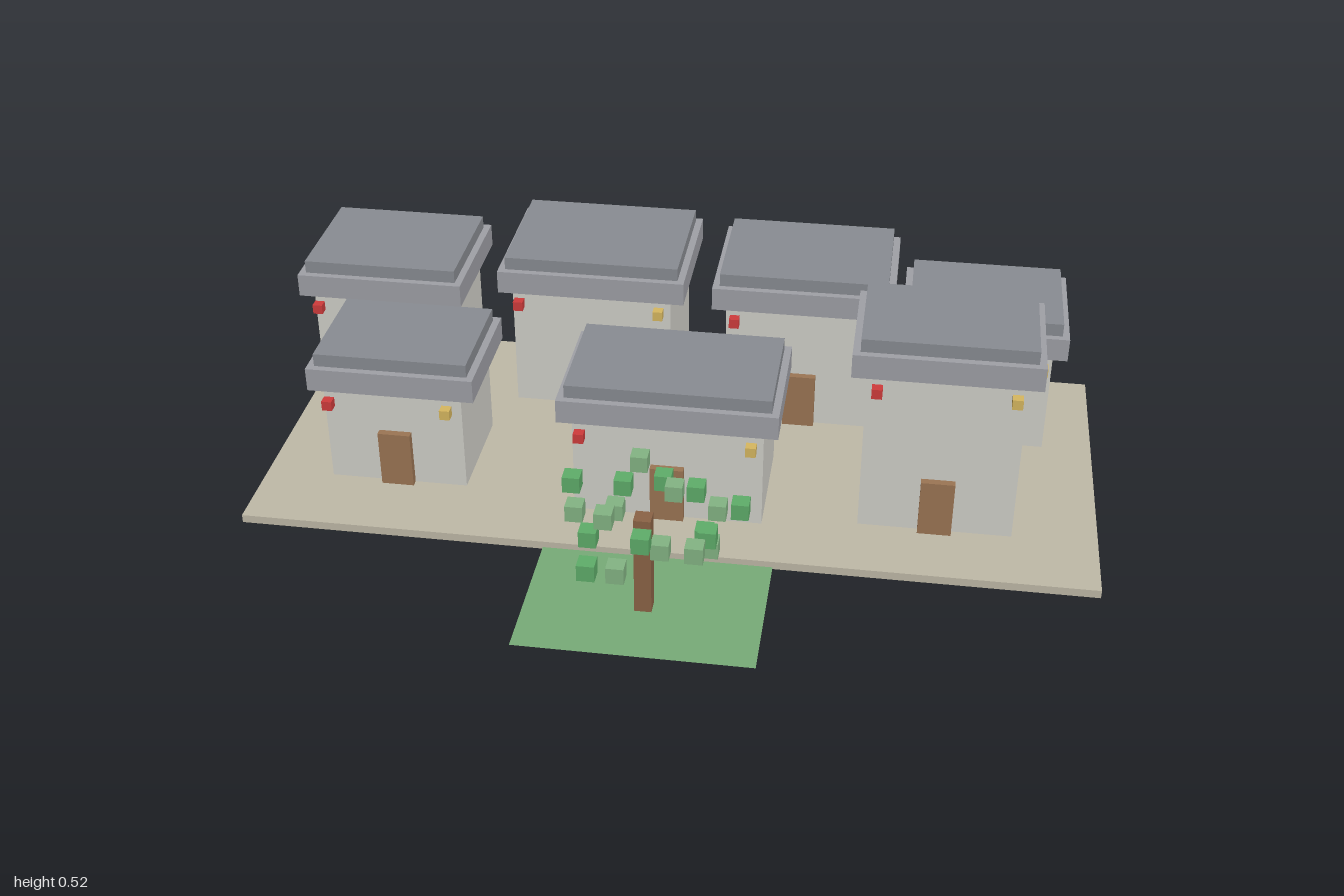
import * as THREE from 'three';

const mat = (color) => new THREE.MeshStandardMaterial({ color, flatShading: true });
const M = {
  ground: mat(0xc0baa8), wall: mat(0xd2d1ca), eave: mat(0xa0a1a7), roof: mat(0x8a8d93),
  door: mat(0x9c7654), red: mat(0xd03c3c), yellow: mat(0xd8b860), trunk: mat(0x8c6446),
  leafDark: mat(0x5fae6a), leafLight: mat(0x84b584), grass: mat(0x78ac78),
};
M.grass.side = THREE.DoubleSide;

// Box given by its lower and upper limits on each axis
function box(parent, name, material, [x0, x1], [y0, y1], [z0, z1]) {
  const mesh = new THREE.Mesh(new THREE.BoxGeometry(x1 - x0, y1 - y0, z1 - z0), material);
  mesh.position.set((x0 + x1) / 2, (y0 + y1) / 2, (z0 + z1) / 2);
  mesh.name = name;
  parent.add(mesh);
  return mesh;
}

const around = (c, size) => [c - size / 2, c + size / 2];
const FLOOR = 0.02;

// House from its eave outline (x0..x1, z0..z1) and wall top h
function house([x0, x1, z0, z1, h]) {
  const g = new THREE.Group();
  g.name = 'house';
  const wallFront = z1 - 0.017;
  box(g, 'walls', M.wall, [x0 + 0.034, x1 - 0.034], [FLOOR, h], [z0 + 0.017, wallFront]);
  box(g, 'eave', M.eave, [x0, x1], [h, h + 0.058], [z0, z1]);
  box(g, 'upperRoof', M.roof, [x0 + 0.017, x1 - 0.017], [h + 0.058, h + 0.09], [z0 + 0.017, z1 - 0.017]);
  box(g, 'door', M.door, around((x0 + x1) / 2, 0.078), [FLOOR, 0.161], around(wallFront, 0.036));
  // Lanterns hanging in front of the eave corners
  const s = 0.024;
  [['redLantern', M.red, x0 + 0.06], ['yellowLantern', M.yellow, x1 - 0.058]].forEach(([name, m, x]) =>
    box(g, name, m, around(x, s), around(h - 0.011, s), around(z1 + 0.034, s)));
  return g;
}

function tree() {
  const g = new THREE.Group();
  g.name = 'tree';
  box(g, 'trunk', M.trunk, around(0.002, 0.038), [FLOOR, 0.262], around(0.483, 0.038));
  // Leaf cubes: x, z and height level 0..2
  const leaves = [
    [0.02, 0.312, 0], [-0.027, 0.345, 2], [-0.056, 0.39, 1], [-0.067, 0.436, 0], [-0.158, 0.443, 2],
    [0.057, 0.397, 1], [0.104, 0.391, 1], [0.153, 0.406, 0], [0.206, 0.443, 1], [-0.142, 0.5, 1],
    [-0.106, 0.541, 0], [-0.067, 0.565, 2], [0.136, 0.5, 0], [0.153, 0.541, 0], [0.155, 0.598, 2],
    [0.059, 0.608, 1], [0.023, 0.638, 2], [-0.027, 0.655, 0], [-0.088, 0.655, 0], [0.136, 0.655, 2],
  ];
  leaves.forEach(([x, z, level], i) =>
    box(g, 'leaf', i % 2 ? M.leafLight : M.leafDark, around(x, 0.038), around(0.243 + level * 0.034, 0.038), around(z, 0.038)));
  return g;
}

export function createModel() {
  const model = new THREE.Group();
  model.name = 'village';
  box(model, 'groundSlab', M.ground, [-0.99, 1], [0, FLOOR], [-0.602, 0.283]);

  // Back row, then front row
  [
    [-1.0, -0.582, -0.62, -0.275, 0.305],
    [-0.493, -0.025, -0.673, -0.307, 0.337],
    [0.047, 0.492, -0.641, -0.298, 0.337],
    [0.514, 0.914, -0.587, -0.268, 0.281],
    [-0.861, -0.461, -0.202, 0.104, 0.268],
    [-0.254, 0.258, -0.165, 0.156, 0.268],
    [0.412, 0.836, -0.176, 0.123, 0.427],
  ].forEach((spec) => model.add(house(spec)));

  // Lawn patch with its tree
  const lawn = new THREE.Mesh(new THREE.PlaneGeometry(0.53, 0.352), M.grass);
  lawn.rotation.x = -Math.PI / 2;
  lawn.position.set(0.002, FLOOR, 0.479);
  lawn.name = 'lawn';
  model.add(lawn, tree());
  return model;
}
